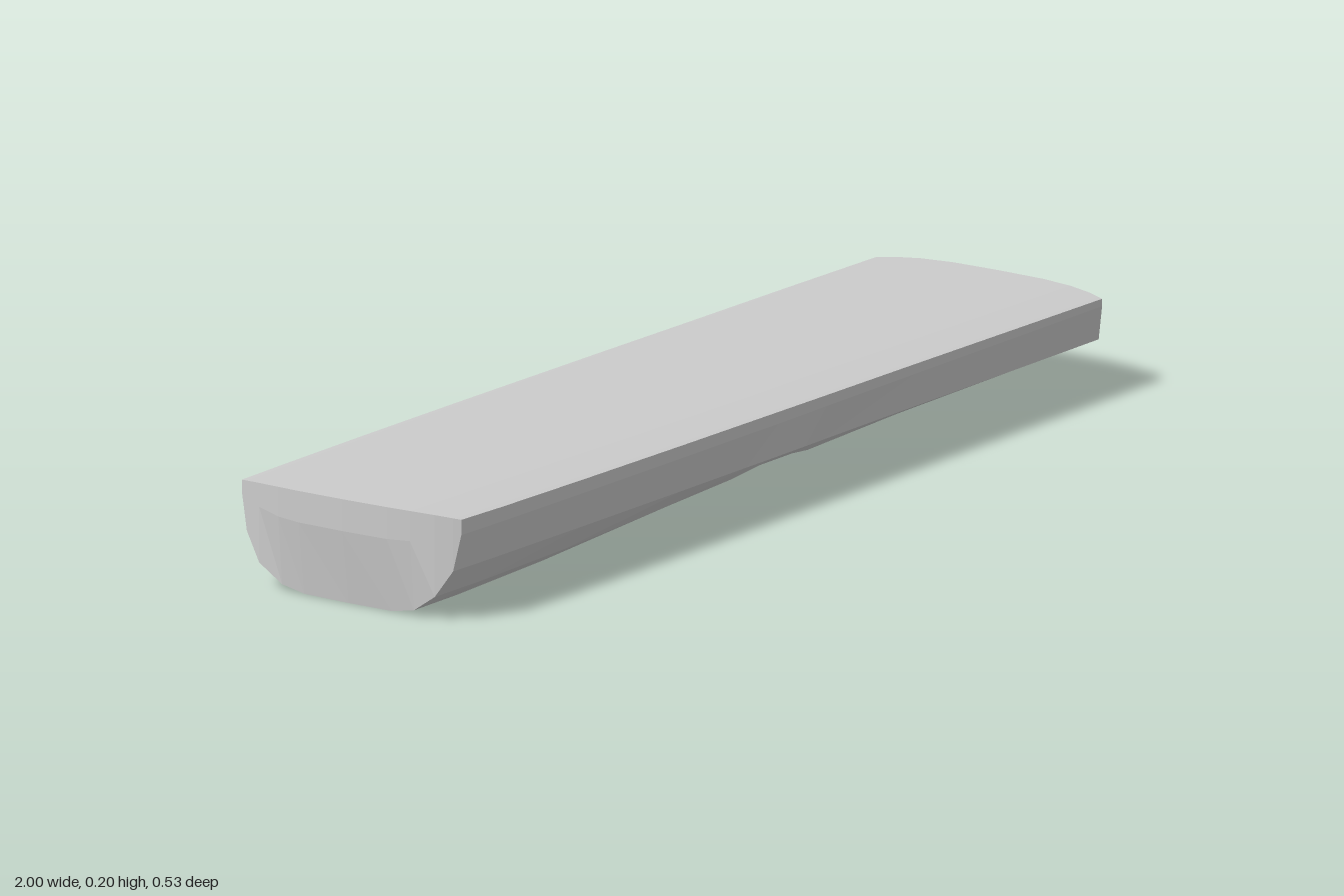
import * as THREE from 'three';

// Lower outline of half a section as [fraction of half width, height]
const DEEP = [[1, 0.17], [0.94, 0.1], [0.8, 0.048], [0.6, 0.014], [0.4, 0.004], [0, 0.003]];
const SLIM = [[1, 0.165], [0.96, 0.1], [0.85, 0.096], [0.66, 0.09], [0.4, 0.086], [0, 0.085]];

// Stations along the length: [x, half width, lowest height]
const STATIONS = [
  [-1, 0.247, 0.003], [-0.85, 0.251, 0.004], [-0.6, 0.255, 0.012], [-0.3, 0.257, 0.032],
  [-0.1, 0.257, 0.046], [-0.02, 0.257, 0.06], [0.08, 0.257, 0.06], [0.13, 0.257, 0.052],
  [0.4, 0.256, 0.064], [0.7, 0.256, 0.075], [1, 0.255, 0.085],
];

const lerp = THREE.MathUtils.lerp;

// Columns of one section from -z to +z, each with a top and a bottom point
function section([x, half, low]) {
  const t = (low - 0.003) / 0.082;
  const column = (i, side) => {
    const u = lerp(DEEP[i][0], SLIM[i][0], t) * side;
    const z = 0.011 * x + half * u;
    const top = 0.194 - 0.01 * x - 0.008 * u ** 4 + 0.003 * u;
    const bottom = lerp(DEEP[i][1], SLIM[i][1], t);
    // Bowed ends that lean inwards towards the bottom
    const end = Math.abs(x) === 1 ? Math.sign(x) : 0;
    const bow = 0.03 * Math.abs(u) ** 3;
    const lean = 0.02 * (top - bottom) / 0.1 * (end > 0 ? 1.2 : 0.5);
    return {
      top: [x - end * bow, top, z],
      bottom: [x - end * Math.max(bow, lean), bottom, z],
    };
  };
  const left = DEEP.map((_, i) => column(i, -1));
  const right = DEEP.map((_, i) => column(i, 1)).reverse().slice(1);
  return [...left, ...right];
}

// Faceted surface through rows of points
function surface(name, rows, material) {
  const positions = [];
  for (let i = 0; i + 1 < rows.length; i++) {
    for (let j = 0; j + 1 < rows[i].length; j++) {
      const a = rows[i][j], b = rows[i][j + 1], c = rows[i + 1][j], d = rows[i + 1][j + 1];
      positions.push(...a, ...b, ...c, ...b, ...d, ...c);
    }
  }
  const geometry = new THREE.BufferGeometry();
  geometry.setAttribute('position', new THREE.Float32BufferAttribute(positions, 3));
  geometry.computeVertexNormals();
  const mesh = new THREE.Mesh(geometry, material);
  mesh.name = name;
  return mesh;
}

export function createModel() {
  const group = new THREE.Group();
  group.name = 'handset';
  const material = new THREE.MeshStandardMaterial({ color: 0xcccccc, flatShading: true });
  const sections = STATIONS.map(section);
  const tops = sections.map((s) => s.map((c) => c.top));
  const bottoms = sections.map((s) => s.map((c) => c.bottom));

  // Top panel
  group.add(surface('topPanel', tops, material));

  // Side walls and rounded underside, from rim to rim
  const shell = sections.map((s, i) =>
    [tops[i][0], ...bottoms[i], tops[i][s.length - 1]].reverse());
  group.add(surface('lowerShell', shell, material));

  // End faces
  const last = sections.length - 1;
  const middle = (i, out) => tops[i].map((p, j) => {
    const b = bottoms[i][j];
    return [p[0] + out, lerp(p[1], b[1], 0.3), p[2]];
  });
  group.add(surface('thickEnd', [bottoms[0], middle(0, 0), tops[0]], material));
  group.add(surface('slimEnd', [tops[last], middle(last, 0), bottoms[last]], material));
  return group;
}
